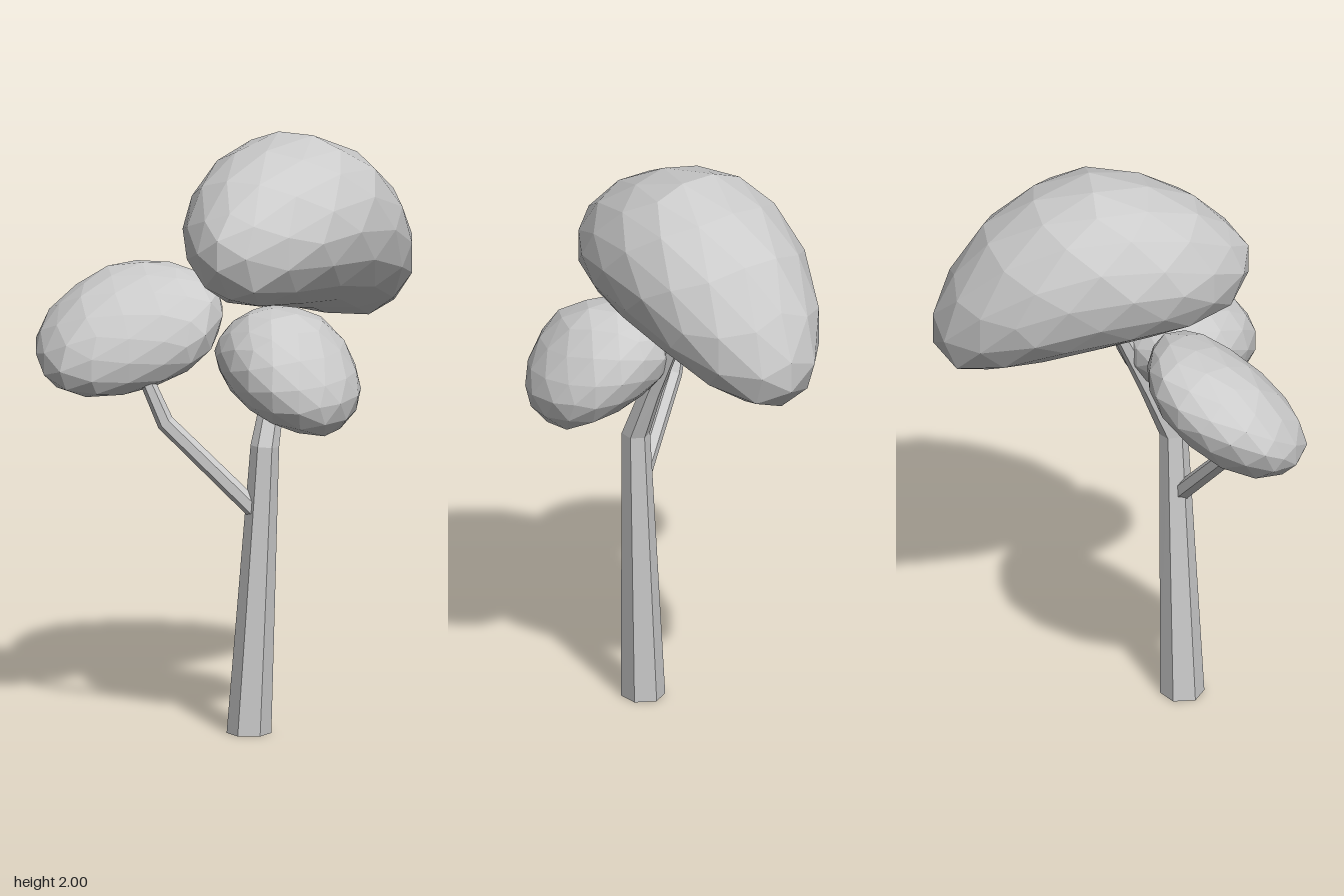
import * as THREE from 'three';

const material = new THREE.MeshStandardMaterial({ color: 0xcccccc, flatShading: true });

function addMesh(group, name, geometry) {
  geometry.computeVertexNormals();
  const mesh = new THREE.Mesh(geometry, material);
  mesh.name = name;
  group.add(mesh);
}

// Tapered limb: a cylinder whose rings follow a path of [x, y, z, radius]
function limb(path, sides) {
  const n = path.length - 1;
  const pts = path.map(([x, y, z]) => new THREE.Vector3(x, y, z));
  const up = new THREE.Vector3(0, 1, 0);
  const turns = pts.map((p, i) => {
    const dir = pts[Math.min(i + 1, n)].clone().sub(pts[Math.max(i - 1, 0)]).normalize();
    return new THREE.Quaternion().setFromUnitVectors(up, p.y === 0 ? up : dir);
  });
  const geo = new THREE.CylinderGeometry(1, 1, n, sides, n).toNonIndexed();
  const pos = geo.attributes.position;
  const v = new THREE.Vector3();
  for (let k = 0; k < pos.count; k++) {
    v.fromBufferAttribute(pos, k);
    const i = Math.round(v.y + n / 2);
    v.y = 0;
    v.multiplyScalar(path[i][3]).applyQuaternion(turns[i]).add(pts[i]);
    pos.setXYZ(k, v.x, v.y, v.z);
  }
  return geo;
}

// Faceted crown: a sphere fitted to cross-sections along one axis.
// Each section is [position, yMin, yMax, sideMin, sideMax]; lean tilts it sideways.
function crown(axis, sections, lean = 0) {
  const side = axis === 'z' ? 'x' : 'z';
  const first = sections[0][0], last = sections[sections.length - 1][0];
  const geo = new THREE.IcosahedronGeometry(1, 2);
  const pos = geo.attributes.position;
  const v = new THREE.Vector3();
  for (let k = 0; k < pos.count; k++) {
    v.fromBufferAttribute(pos, k);
    const at = THREE.MathUtils.lerp(first, last, (v[axis] + 1) / 2);
    let i = 0;
    while (i < sections.length - 2 && at > sections[i + 1][0]) i++;
    const a = sections[i], b = sections[i + 1];
    const f = (at - a[0]) / (b[0] - a[0]);
    const [, y0, y1, s0, s1] = a.map((value, j) => THREE.MathUtils.lerp(value, b[j], f));
    const r = Math.max(Math.hypot(v.y, v[side]), 1e-4);
    const across = (v[side] / r) * (s1 - s0) * 0.51;
    v.y = (y0 + y1) / 2 + (v.y / r) * (y1 - y0) * 0.51 + across * lean;
    v[side] = (s0 + s1) / 2 + across;
    v[axis] = at;
    pos.setXYZ(k, v.x, v.y, v.z);
  }
  return geo;
}

export function createModel() {
  const tree = new THREE.Group();
  tree.name = 'tree';

  // Trunk bending backwards into the top crown
  addMesh(tree, 'trunk', limb([
    [0.15, 0, 0.24, 0.075], [0.198, 0.98, 0.217, 0.048],
    [0.19, 1.16, 0.14, 0.038], [0.16, 1.47, 0, 0.026],
  ], 6));

  // Side branch
  addMesh(tree, 'branch', limb([
    [0.18, 0.755, 0.235, 0.032], [-0.09, 1.06, 0.385, 0.03], [-0.16, 1.24, 0.42, 0.024],
  ], 6));

  // Large bean-shaped crown, sagging towards the back
  addMesh(tree, 'topCrown', crown('z', [
    [-0.61, 1.42, 1.48, 0.13, 0.21],
    [-0.55, 1.33, 1.63, 0.0, 0.31],
    [-0.43, 1.32, 1.81, -0.08, 0.405],
    [-0.3, 1.345, 1.91, -0.14, 0.45],
    [-0.15, 1.39, 1.99, -0.165, 0.475],
    [0, 1.42, 2.0, -0.175, 0.475],
    [0.2, 1.45, 1.94, -0.125, 0.43],
    [0.3, 1.47, 1.88, -0.07, 0.38],
    [0.4, 1.51, 1.79, 0.02, 0.31],
    [0.475, 1.63, 1.7, 0.11, 0.2],
  ]));

  // Crown on the side branch, drooping towards the front
  addMesh(tree, 'branchCrown', crown('x', [
    [-0.565, 1.3, 1.38, 0.34, 0.43],
    [-0.5, 1.21, 1.45, 0.18, 0.54],
    [-0.38, 1.175, 1.52, 0.1, 0.6],
    [-0.24, 1.17, 1.54, 0.08, 0.57],
    [-0.1, 1.21, 1.53, 0.1, 0.46],
    [0, 1.27, 1.48, 0.15, 0.37],
    [0.035, 1.34, 1.43, 0.22, 0.31],
  ], -0.42));

  // Small crown in front of the trunk, drooping outwards
  addMesh(tree, 'lowCrown', crown('x', [
    [0.045, 1.27, 1.35, 0.2, 0.29],
    [0.1, 1.2, 1.41, 0.1, 0.37],
    [0.2, 1.13, 1.46, 0.05, 0.46],
    [0.34, 1.08, 1.46, 0.03, 0.52],
    [0.43, 1.06, 1.41, 0.05, 0.49],
    [0.51, 1.06, 1.31, 0.11, 0.43],
    [0.56, 1.14, 1.22, 0.22, 0.31],
  ], -0.08));

  return tree;
}
